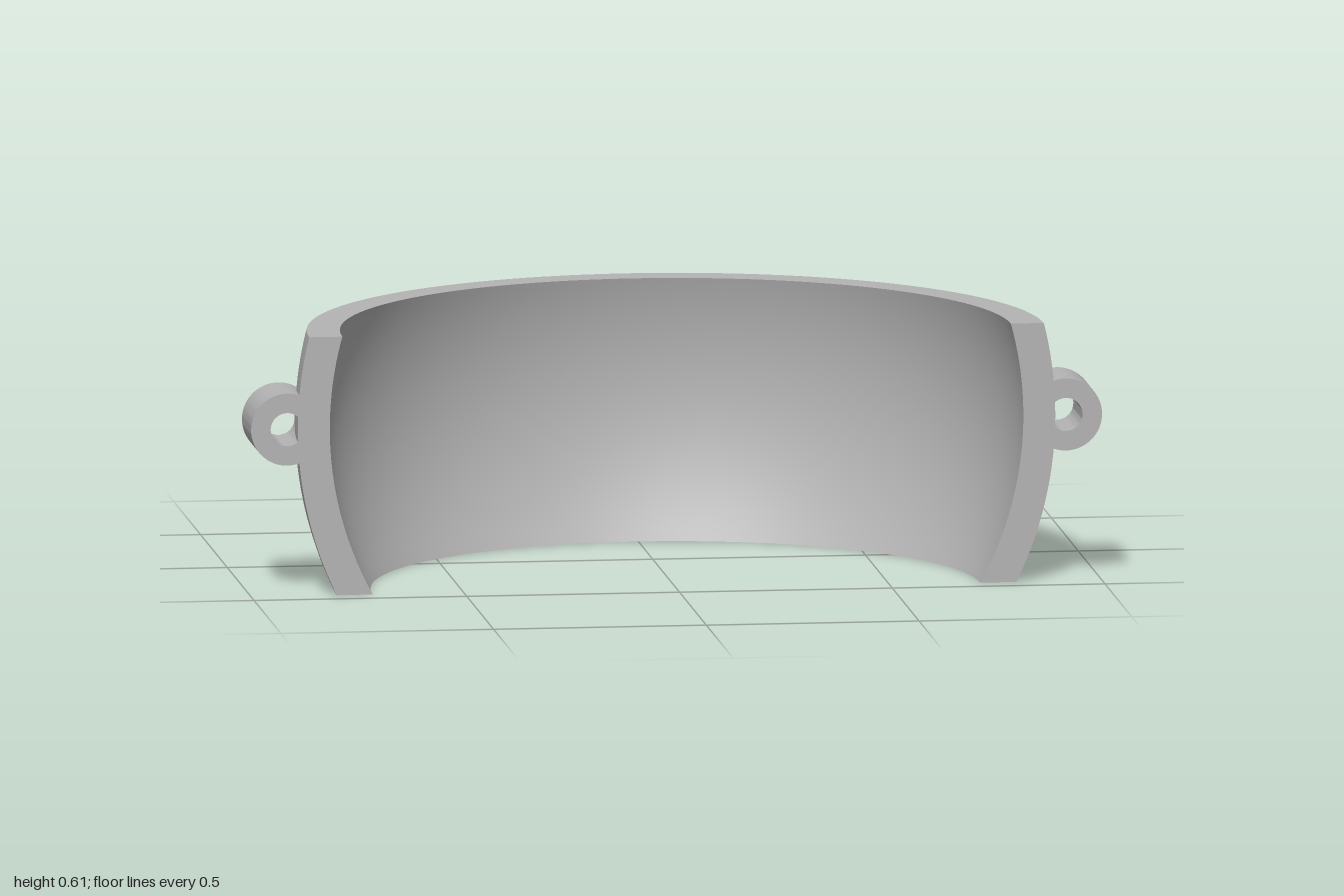
import * as THREE from 'three';
import { toCreasedNormals } from 'three/addons/utils/BufferGeometryUtils.js';

const R_OUT = 0.89, R_IN = 0.815;      // spherical shell radii
const CY = 0.393, CZ = 0.445;          // shell centre height, open end plane
const HEIGHT = 0.61;
const LUG_X = 0.915, LUG_R = 0.085, LUG_BACK = 0.273, HOLE_R = 0.039;
const POCKET_R = 0.09;                 // clearance channel behind each lug
const TIP = CZ - Math.sqrt(R_OUT ** 2 - (LUG_X - POCKET_R) ** 2);
const N = 12;                          // steps per strip of the section
const lerp = THREE.MathUtils.lerp;

// Half height of the channel mouth on the outer sphere at depth z
function mouth(z) {
  const rho2 = R_OUT ** 2 - (CZ - z) ** 2;
  const x = (rho2 - POCKET_R ** 2 + LUG_X ** 2) / (2 * LUG_X);
  return Math.sqrt(Math.max(rho2 - x * x, 0.004 ** 2));
}

// Closed section: outer points upward, then inner points downward.
// t sweeps from the plane at depth z (t = 0) to the back of the arc (t = 1).
function section(z, t, cut) {
  const h = mouth(Math.min(z, LUG_BACK));
  const levels = [0, CY - h, CY + h, HEIGHT];
  const ys = [];
  for (let s = 0; s < 3; s++)
    for (let k = s ? 1 : 0; k <= N; k++) ys.push(lerp(levels[s], levels[s + 1], k / N));
  const point = (R, y) => {
    const p = Math.sqrt(R * R - (y - CY) ** 2);
    const a = lerp(Math.asin((CZ - z) / p), Math.PI / 2, t);
    return [p * Math.cos(a), y, CZ - p * Math.sin(a)];
  };
  const outer = ys.map((y) => {
    const q = point(R_OUT, y), u = Math.abs(y - CY);
    if (cut && u < POCKET_R) q[0] = Math.min(q[0], LUG_X - Math.sqrt(POCKET_R ** 2 - u * u));
    return q;
  });
  return outer.concat(ys.map((y) => point(R_IN, y)).reverse());
}

function bandGeometry() {
  const half = [];
  for (let k = 0; k <= 4; k++) half.push(section(lerp(CZ, LUG_BACK, k / 4), 0, false));
  for (let k = 0; k <= 18; k++)
    half.push(section(TIP + (LUG_BACK - TIP) * (1 - k / 18) ** 2, 0, true));
  for (let k = 1; k <= 40; k++) half.push(section(TIP, k / 40, false));
  const mirrored = half.slice(0, -1).reverse().map((r) => r.map(([x, y, z]) => [-x, y, z]));
  const rows = half.concat(mirrored);

  const pos = [];
  const quad = (a, b, c, d) => pos.push(...a, ...b, ...d, ...b, ...c, ...d);
  const M = rows[0].length;
  for (let i = 0; i < rows.length - 1; i++)
    for (let j = 0; j < M; j++) {
      const k = (j + 1) % M;
      quad(rows[i][j], rows[i + 1][j], rows[i + 1][k], rows[i][k]);
    }
  // flat ends
  const first = rows[0], last = rows[rows.length - 1];
  for (let j = 0; j < M / 2 - 1; j++) {
    quad(first[j], first[j + 1], first[M - 2 - j], first[M - 1 - j]);
    quad(last[j], last[M - 1 - j], last[M - 2 - j], last[j + 1]);
  }
  const g = new THREE.BufferGeometry();
  g.setAttribute('position', new THREE.Float32BufferAttribute(pos, 3));
  return toCreasedNormals(g, 0.45);
}

function lugGeometry() {
  const ring = new THREE.Shape().absarc(0, 0, LUG_R, 0, Math.PI * 2, false);
  ring.holes.push(new THREE.Path().absarc(0, 0, HOLE_R, 0, Math.PI * 2, true));
  const g = new THREE.ExtrudeGeometry(ring, {
    depth: CZ - LUG_BACK, bevelEnabled: false, curveSegments: 40,
  });
  return toCreasedNormals(g, 0.6);
}

export function createModel() {
  const group = new THREE.Group();
  group.name = 'halfClamp';
  const grey = new THREE.MeshStandardMaterial({ color: 0xb4b4b4 });
  grey.name = 'grey';

  const band = new THREE.Mesh(bandGeometry(), grey);
  band.name = 'band';
  group.add(band);

  // screw lugs at both ends
  const lugGeo = lugGeometry();
  for (const [name, side] of [['leftLug', 1], ['rightLug', -1]]) {
    const lug = new THREE.Mesh(lugGeo, grey);
    lug.name = name;
    lug.position.set(side * LUG_X, CY, LUG_BACK);
    group.add(lug);
  }
  return group;
}
